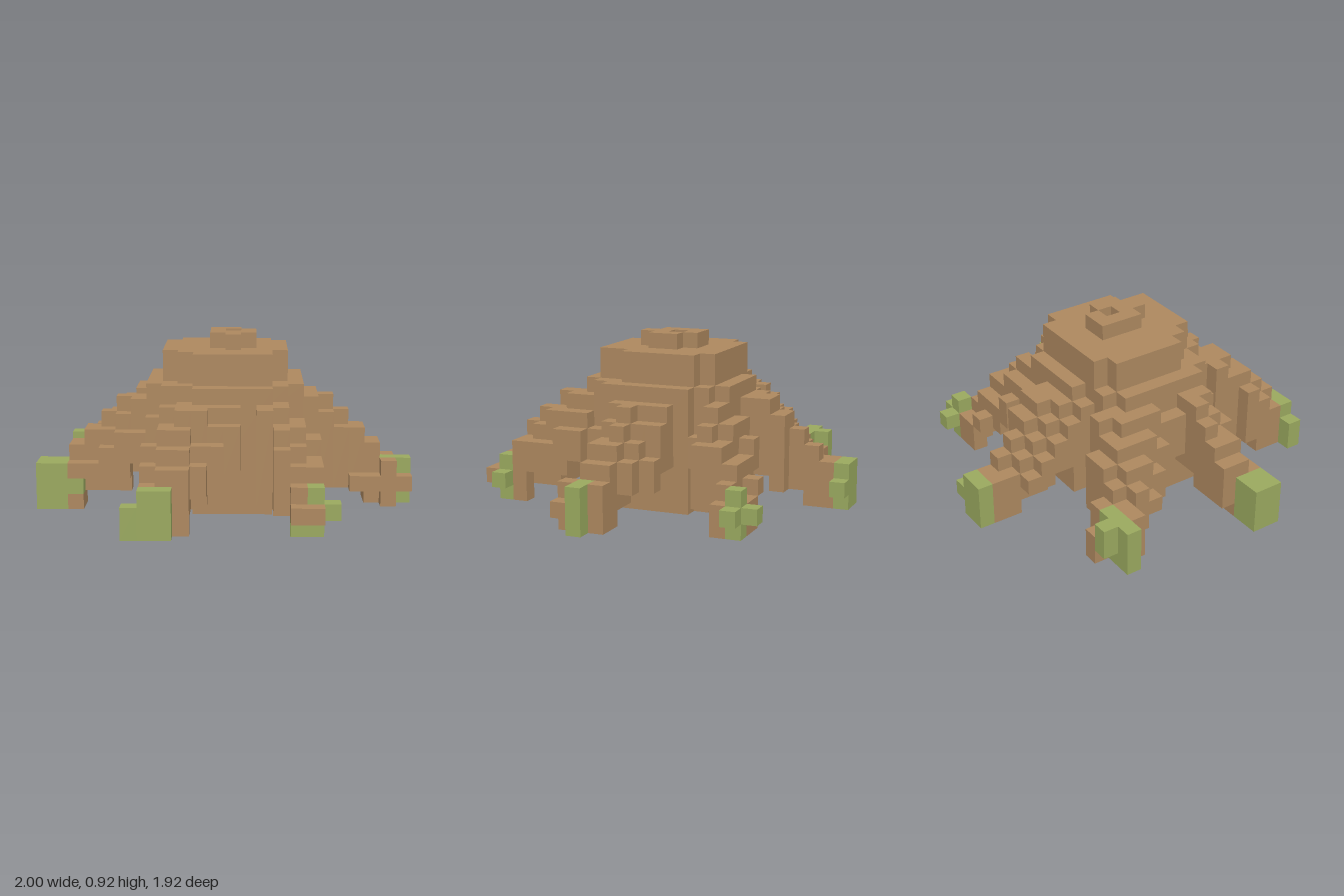
import * as THREE from 'three';
import { mergeGeometries } from 'three/addons/utils/BufferGeometryUtils.js';

const U = 1 / 12; // size of one block

// Box spanning block coordinates [x0, x1, y0, y1, z0, z1]
function block([x0, x1, y0, y1, z0, z1]) {
  const g = new THREE.BoxGeometry((x1 - x0) * U, (y1 - y0) * U, (z1 - z0) * U);
  return g.translate((x0 + x1) * U / 2, (y0 + y1) * U / 2, (z0 + z1) * U / 2);
}

function part(name, boxes, material) {
  const mesh = new THREE.Mesh(mergeGeometries(boxes.map(block)), material);
  mesh.name = name;
  return mesh;
}

// Each leg: tip position, first z row, x span of every row, green tip blocks, extra brown blocks
const LEGS = {
  backLeg: {
    tip: [-0.7, -10.8], z: -10.5,
    rows: [[-2, 0], [-2, 0], [-3, 0], [-3, 1], [-3, 1], [-3, 1], [-3, 3]],
    green: [[-2, 0, 0, 3, -11.5, -10.5], [0, 1, 1, 2, -11.5, -10.5]],
  },
  backLeftLeg: {
    tip: [9, -6.5], z: -7.5,
    rows: [[5, 8], [3, 8], [2, 7], [3, 7]],
    green: [[8, 9, 0, 3, -7.5, -6.5], [9, 10, 1, 2, -7.5, -6.5], [8, 9, 1, 2, -8.5, -7.5]],
    extra: [[8, 9, 0, 2, -6.5, -5.5]],
  },
  backRightLeg: {
    tip: [-9.8, -6.2], z: -7.5,
    rows: [[-9, -8], [-8, -7], [-10, -5], [-9, -4], [-9, -4], [-8, -4], [-7, -4]],
    green: [[-11, -8, 0, 3, -6.5, -5.5], [-10, -9, 1, 3, -7.5, -6.5]],
  },
  leftLeg: {
    tip: [11.3, 2.2], z: -1.5,
    rows: [[5, 8], [5, 9], [5, 11], [5, 10]],
    green: [[10, 12, 0, 3, 1.5, 2.5]],
    extra: [[8, 10, 1, 2, 2.5, 3.5], [10, 11, 0, 3, 2.5, 3.5], [11, 12, 1, 2, 2.5, 3.5]],
  },
  rightLeg: {
    tip: [-11.5, 3], z: 1.5,
    rows: [[-10, -4], [-10, -4], [-9, -4]],
    green: [[-12, -10, 0, 3, 2.5, 4.5], [-10, -9, 1, 2, 3.5, 4.5]],
    extra: [[-10, -9, 0, 1, 3.5, 4.5], [-10, -9, 2, 3, 3.5, 4.5]],
  },
  frontRightLeg: {
    tip: [-4.3, 11], z: 4.5, lift: 0.8,
    rows: [[-3, 1], [-4, 1], [-4, 1], [-5, 0], [-5, -1], [-5, -2]],
    green: [[-5, -3, 0, 3, 10.5, 11.5], [-6, -5, 0, 2, 10.5, 11.5]],
  },
  frontLeftLeg: {
    tip: [5.3, 11], z: 4.5, lift: 0.5,
    rows: [[2, 6], [2, 6], [2, 6], [3, 6], [3, 6]],
    green: [[5, 6, 0, 3, 9.5, 10.5], [6, 7, 1, 2, 9.5, 10.5], [4, 5, 0, 1, 9.5, 10.5]],
    extra: [[4, 5, 1, 3, 9.5, 10.5], [4, 6, 1, 2, 10.5, 11.5]],
  },
};

// Block columns that step down along the leg and thin out towards its sides, arched underneath
function legColumns({ tip: [tx, tz], z, rows, lift = 0, extra = [] }) {
  const length = Math.hypot(tx, tz);
  const boxes = [...extra];
  rows.forEach(([x0, x1], k) => {
    const z0 = z + k;
    for (let x = x0; x < x1; x++) {
      const cx = x + 0.5, cz = z0 + 0.5;
      const along = (cx * tx + cz * tz) / (length * length) * 11.3;
      const side = Math.max(0, Math.abs(cx * tz - cz * tx) / length - 0.7);
      const arch = along < 6.6 ? 2 : along < 9.32 ? 1 : 0;
      const bottom = arch ? Math.min(3, arch + Math.round(side * 0.8)) : 0;
      const top = THREE.MathUtils.clamp(Math.round(13.1 + lift - along - side), side < 0.5 ? 3 : 2, 7);
      boxes.push([x, x + 1, bottom, Math.max(top, bottom + 1), z0, z0 + 1]);
    }
  });
  return boxes;
}

export function createModel() {
  const brown = new THREE.MeshStandardMaterial({ color: 0xad885f });
  brown.name = 'brown bark';
  const green = new THREE.MeshStandardMaterial({ color: 0x9aa95f });
  green.name = 'green tip';

  const model = new THREE.Group();
  model.name = 'steppedMound';

  // Round central body
  model.add(part('body', [
    [-4, 4, 0, 8, -3.5, 4.5],
    [-5, 5, 0, 8, -2.5, 3.5],
    [-2, 3, 0, 8, -4.5, 5.5],
    [-6, -5, 3, 6, -1.5, 2.5],
    [4, 5, 3, 5, -3.5, 4.5],
  ], brown));

  // Upper tier
  model.add(part('upperTier', [
    [-3, 3, 8, 10, -3.5, 3.5],
    [-4, 4, 8, 10, -2.5, 2.5],
    [-2, 3, 8, 10, 3.5, 4.5],
  ], brown));

  // Ring of blocks around the hole on top
  model.add(part('topRing', [
    [-1, 0, 10, 11, -1.5, 1.5],
    [1, 2, 10, 11, -0.5, 1.5],
    [0, 1, 10, 11, -1.5, -0.5],
    [0, 1, 10, 11, 0.5, 2.5],
  ], brown));

  // Legs with green tips
  for (const [name, leg] of Object.entries(LEGS)) {
    const group = new THREE.Group();
    group.name = name;
    group.add(part(name + 'Limb', legColumns(leg), brown));
    group.add(part(name + 'Tip', leg.green, green));
    model.add(group);
  }
  return model;
}
